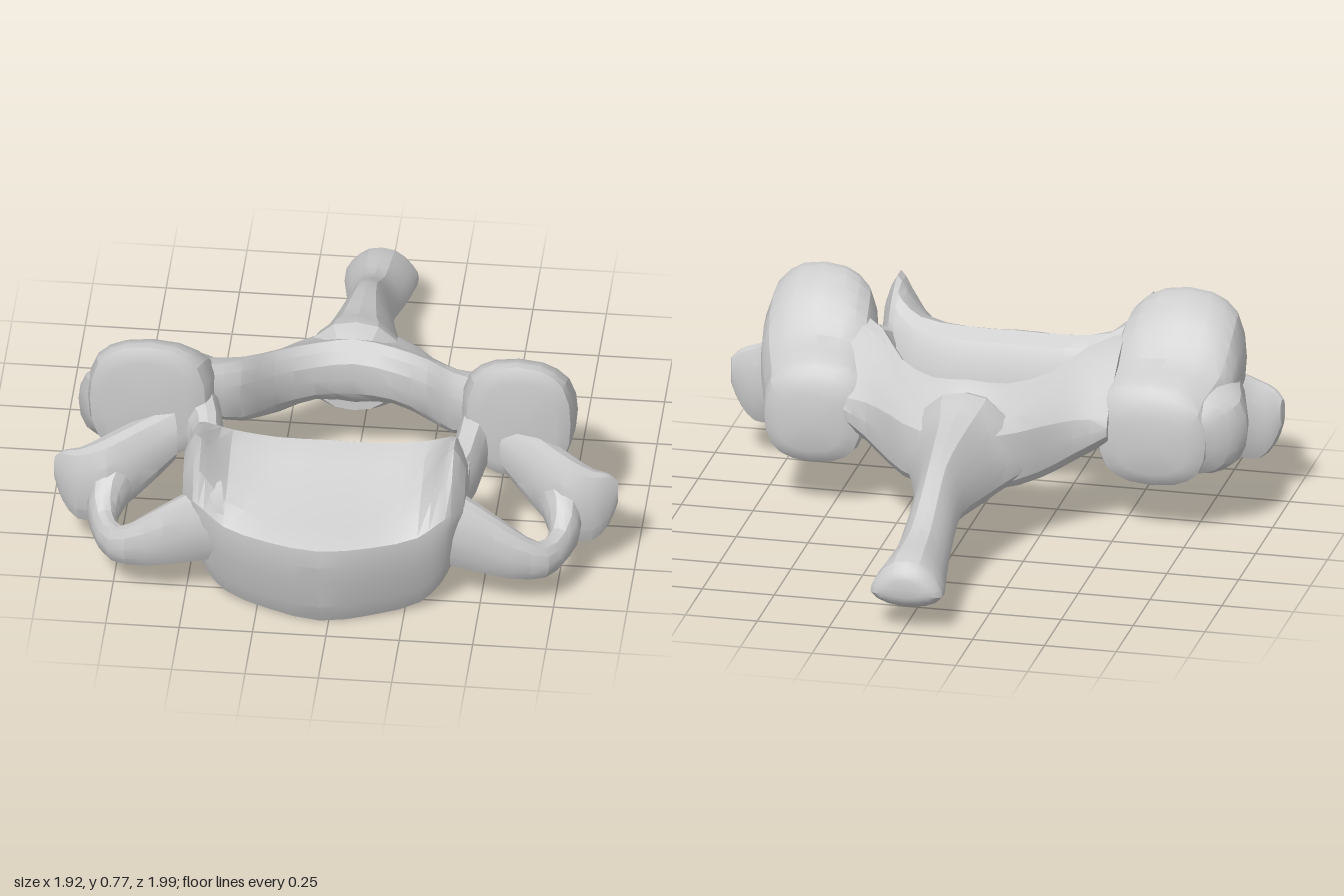
import * as THREE from 'three';
import { mergeVertices, toCreasedNormals } from 'three/addons/utils/BufferGeometryUtils.js';

const material = new THREE.MeshStandardMaterial({ color: 0xcccccc });
const V = (x, y, z) => new THREE.Vector3(x, y, z);
const spline = (pts, closed, n) => {
  const c = new THREE.CatmullRomCurve3(pts, closed, 'centripetal');
  return Array.from({ length: closed ? n : n + 1 }, (_, i) => c.getPoint(i / n));
};

// Smooth closed loft through rings of equal point count, capped at both ends.
function loft(name, sections, around = 2, along = 2) {
  const k = sections[0].length;
  const rings = sections.map(s => spline(s, true, k * around));
  const n = k * around, m = (sections.length - 1) * along;
  const columns = rings[0].map((_, j) => spline(rings.map(r => r[j]), false, m));
  const pos = [], index = [];
  for (let i = 0; i <= m; i++) columns.forEach(c => pos.push(c[i].x, c[i].y, c[i].z));
  for (let i = 0; i < m; i++) {
    for (let j = 0; j < n; j++) {
      const a = i * n + j, b = i * n + (j + 1) % n;
      index.push(a, b, a + n, b, b + n, a + n);
    }
  }
  [0, m].forEach(i => {
    const centre = columns.reduce((sum, c) => sum.add(c[i]), V(0, 0, 0)).divideScalar(n);
    const id = pos.length / 3;
    pos.push(centre.x, centre.y, centre.z);
    for (let j = 0; j < n; j++) {
      const a = i * n + j, b = i * n + (j + 1) % n;
      index.push(...(i ? [a, b, id] : [b, a, id]));
    }
  });
  // Turn the faces outward if the enclosed volume comes out negative
  const p = i => V(pos[3 * i], pos[3 * i + 1], pos[3 * i + 2]);
  let volume = 0;
  for (let i = 0; i < index.length; i += 3) {
    volume += p(index[i]).dot(p(index[i + 1]).cross(p(index[i + 2])));
  }
  if (volume < 0) index.reverse();
  const g = new THREE.BufferGeometry();
  g.setAttribute('position', new THREE.Float32BufferAttribute(pos, 3));
  g.setIndex(index);
  const mesh = new THREE.Mesh(toCreasedNormals(mergeVertices(g), 0.4), material);
  mesh.name = name;
  return mesh;
}

// Bar along a path of [x, y, z, half thickness, half height]
function bar(name, path, place) {
  const sections = path.map(([x, y, z, t, h], i) => {
    const a = path[Math.max(i - 1, 0)], b = path[Math.min(i + 1, path.length - 1)];
    const side = V(b[2] - a[2], 0, a[0] - b[0]).normalize();
    return Array.from({ length: 6 }, (_, j) => {
      const u = j / 6 * Math.PI * 2;
      const off = Math.cos(u) * t;
      return place(x + side.x * off, y + Math.sin(u) * h, z + side.z * off);
    });
  });
  return loft(name, sections);
}

// Rounded box ring at depth z
const roundRing = (x0, x1, y0, y1, z, place) => Array.from({ length: 10 }, (_, j) => {
  const u = j / 10 * Math.PI * 2, c = Math.cos(u), s = Math.sin(u);
  const q = v => Math.sign(v) * Math.abs(v) ** 0.75;
  return place((x0 + x1) / 2 + q(c) * (x1 - x0) / 2, (y0 + y1) / 2 + q(s) * (y1 - y0) / 2, z);
});

// Sections for +x, reflected to run from -x to +x
const mirrored = rows => [...rows.slice(1).reverse().map(r => [-r[0], ...r.slice(1)]), ...rows];

function createModel() {
  const group = new THREE.Group();

  // Body: [x, front z, front top y, bottom y, back z, rear top z, rear top y, middle top y]
  const body = mirrored([
    [0, 0.99, 0.34, 0.0, 0.46, 0.57, 0.51, 0.41],
    [0.18, 0.95, 0.34, 0.01, 0.46, 0.57, 0.51, 0.41],
    [0.33, 0.89, 0.35, 0.03, 0.47, 0.57, 0.53, 0.46],
    [0.4, 0.87, 0.4, 0.1, 0.5, 0.6, 0.57, 0.57],
    [0.44, 0.85, 0.42, 0.18, 0.53, 0.64, 0.6, 0.625],
    [0.48, 0.79, 0.4, 0.28, 0.6, 0.67, 0.51, 0.53],
  ]).map(([x, zf, yf, yb, zb, zr, yr, ym]) => [
    [yf, zf], [(yf + yb) / 2 + 0.02, zf - 0.02], [yb, zf - 0.08],
    [yb + 0.06, (zf + zb) / 2], [yb + 0.13, zb], [yb + 0.2, zb],
    [yr - 0.09, zb + 0.03], [yr, zr], [ym, (zf + zr) / 2],
  ].map(([y, z]) => V(x - 0.03, y, z)));
  group.add(loft('body', body));

  // Neural arch: [x, inner z, outer z, top y, bottom y]
  const arch = mirrored([
    [0, 0.07, -0.16, 0.54, 0.21],
    [0.13, 0.09, -0.2, 0.53, 0.21],
    [0.26, 0.18, -0.08, 0.55, 0.22],
    [0.36, 0.32, 0.01, 0.6, 0.26],
    [0.47, 0.4, 0.05, 0.63, 0.32],
  ]).map(([x, zi, zo, top, low]) => [
    V(x, top - 0.06, zi), V(x, top, zi - 0.06), V(x, top - 0.05, (zi + zo) / 2),
    V(x, 0.42, zo + 0.01), V(x, low + 0.04, zo), V(x, low, zo + 0.06),
    V(x, low + 0.06, (zi + zo) / 2 + 0.04), V(x, low + 0.14, zi - 0.01),
  ]);
  group.add(loft('neuralArch', arch));

  // Spinous process: [z, half width, bottom y, top y]
  const spine = [
    [0, 0.12, 0.25, 0.48], [-0.1, 0.22, 0.21, 0.52], [-0.2, 0.17, 0.19, 0.49],
    [-0.35, 0.12, 0.19, 0.46], [-0.5, 0.085, 0.2, 0.42], [-0.62, 0.085, 0.16, 0.35],
    [-0.75, 0.095, 0.11, 0.28], [-0.87, 0.115, 0.09, 0.26], [-0.96, 0.125, 0.09, 0.24],
    [-0.99, 0.1, 0.11, 0.21], [-1, 0.06, 0.13, 0.19],
  ].map(([z, w, low, top]) => {
    const at = (x, f) => V(x * w - 0.01, low + f * (top - low), z);
    return [at(0.35, 1), at(0.85, 0.6), at(1, 0.25), at(0.5, 0),
      at(-0.5, 0), at(-1, 0.25), at(-0.85, 0.6), at(-0.35, 1)];
  });
  group.add(loft('spinousProcess', spine));

  for (const s of [1, -1]) {
    const side = s > 0 ? 'left' : 'right';
    // The right side is a little wider and set further forward
    const wide = (x, y, z) => (s > 0 ? V(x, y, z) : V(-x * 1.11, y + 0.01, z + 0.025));
    const wing = (x, y, z) => (s > 0 ? V(x, y, z) : V(-x * 1.02 - 0.01, y, z + 0.05));

    // Articular pillar with its sloping facets
    const pillar = [
      [0.47, 0.73, 0.36, 0.7, 0.45], [0.42, 0.775, 0.31, 0.755, 0.43],
      [0.4, 0.785, 0.31, 0.745, 0.37], [0.39, 0.785, 0.31, 0.68, 0.28],
      [0.38, 0.77, 0.28, 0.58, 0.2], [0.37, 0.735, 0.2, 0.53, 0.1],
      [0.39, 0.725, 0.175, 0.49, 0.06], [0.45, 0.67, 0.22, 0.42, 0.035],
    ].map(r => roundRing(...r, wide));
    group.add(loft(side + 'ArticularPillar', pillar));

    // Pedicle between body and pillar
    group.add(bar(side + 'Pedicle', [
      [0.37, 0.36, 0.66, 0.07, 0.12], [0.42, 0.38, 0.54, 0.055, 0.12],
      [0.44, 0.42, 0.43, 0.06, 0.13], [0.48, 0.47, 0.34, 0.08, 0.12],
    ], wing));

    // Bar enclosing the transverse opening
    group.add(bar(side + 'TransverseBar', [
      [0.36, 0.32, 0.74, 0.08, 0.16], [0.49, 0.28, 0.765, 0.055, 0.14],
      [0.61, 0.23, 0.77, 0.05, 0.105], [0.71, 0.19, 0.745, 0.045, 0.07],
      [0.76, 0.19, 0.65, 0.045, 0.07], [0.77, 0.23, 0.56, 0.06, 0.11],
      [0.7, 0.33, 0.45, 0.065, 0.13], [0.62, 0.42, 0.36, 0.07, 0.1],
    ], wing));

    // Drooping outer tip of the transverse process
    group.add(bar(side + 'TransverseTip', [
      [0.56, 0.42, 0.4, 0.06, 0.11], [0.68, 0.34, 0.455, 0.065, 0.15],
      [0.78, 0.285, 0.5, 0.07, 0.165], [0.86, 0.265, 0.51, 0.05, 0.15],
      [0.91, 0.285, 0.495, 0.03, 0.11], [0.94, 0.31, 0.485, 0.015, 0.05],
    ], wing));
  }

  // Outer swelling of the right pillar
  group.add(loft('rightPillarSwelling', [
    [-0.79, -0.6, 0.3, 0.44, 0.08], [-0.88, -0.58, 0.22, 0.49, 0.13],
    [-0.925, -0.56, 0.21, 0.52, 0.2], [-0.905, -0.56, 0.25, 0.54, 0.28],
    [-0.87, -0.58, 0.32, 0.54, 0.37], [-0.8, -0.62, 0.36, 0.5, 0.43],
  ].map(r => roundRing(...r, V))));
  return group;
}

export { createModel };
